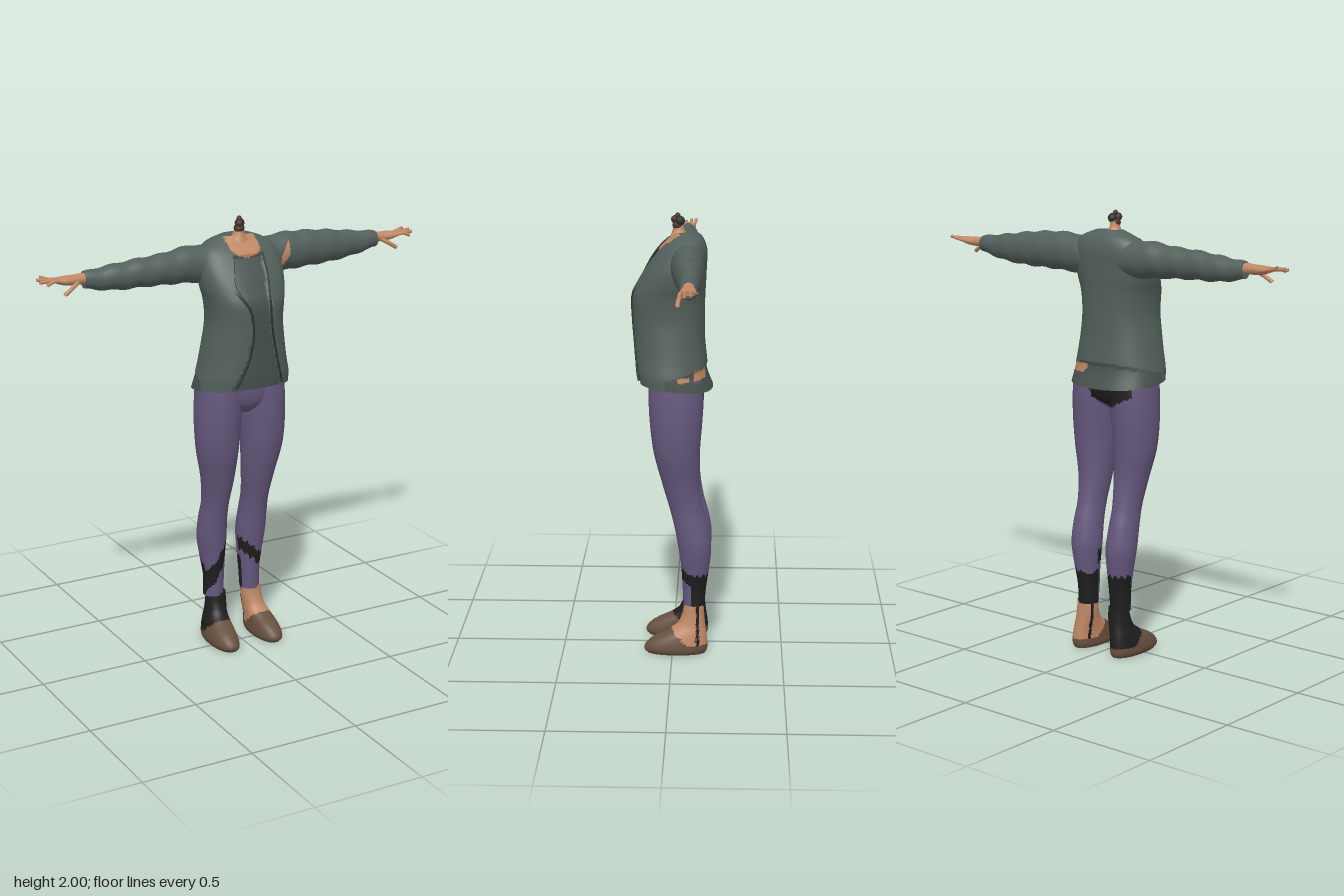
import * as THREE from 'three';

const mat = (name, color) => Object.assign(new THREE.MeshStandardMaterial({ color, side: THREE.DoubleSide }), { name });
const M = {
  jacket: mat('jacketGrey', 0x53605c),
  shirt: mat('shirtGrey', 0x49534f),
  trim: mat('seamDark', 0x2c3331),
  skin: mat('skin', 0xc08865),
  purple: mat('leggingPurple', 0x65587d),
  black: mat('tornBlack', 0x1e1e1f),
  brown: mat('shoeBrown', 0x67503f),
  stump: mat('stumpBrown', 0x4b342c),
};

// Smooth interpolation through rows of [t, ...values]
function spline(rows) {
  const n = rows[0].length - 1;
  const f = new THREE.CubicInterpolant(rows.map(r => r[0]), rows.flatMap(r => r.slice(1)), n, new Float32Array(n));
  return t => Array.from(f.evaluate(t));
}

// Closed loft; rows are [t, aMin, aMax, bMin, bMax].
// Axis y: a = x, b = z.  Axis x: a = y, b = z.  side mirrors x.
function loft(name, rows, o) {
  const { axis = 'y', side = 1, nu = 32, nv = 24, power = 2, pick, warp } = o;
  const at = spline(rows), t0 = rows[0][0], t1 = rows[rows.length - 1][0];
  const pos = [], sp = v => Math.sign(v) * Math.abs(v) ** (2 / power);
  const put = (t, a, b) => {
    const p = axis === 'y' ? new THREE.Vector3(side * a, t, b) : new THREE.Vector3(side * t, a, b);
    if (warp) warp(p);
    pos.push(p.x, p.y, p.z);
  };
  const ring = t => {
    const [a0, a1, b0, b1] = at(t);
    for (let i = 0; i < nu; i++) {
      const q = i / nu * Math.PI * 2;
      put(t, (a0 + a1) / 2 + (a1 - a0) / 2 * sp(Math.cos(q)), (b0 + b1) / 2 + (b1 - b0) / 2 * sp(Math.sin(q)));
    }
  };
  for (let j = 0; j <= nv; j++) ring(t0 + (t1 - t0) * j / nv);
  const flip = (axis === 'x') !== (side < 0), buckets = new Map();
  const tri = (a, b, c) => {
    const mid = k => (pos[a * 3 + k] + pos[b * 3 + k] + pos[c * 3 + k]) / 3;
    const m = typeof pick === 'function' ? pick(mid(0), mid(1), mid(2)) : pick;
    if (!buckets.has(m)) buckets.set(m, []);
    buckets.get(m).push(...(flip ? [a, c, b] : [a, b, c]));
  };
  for (let j = 0; j < nv; j++) for (let i = 0; i < nu; i++) {
    const k = (i + 1) % nu, p = j * nu;
    tri(p + i, p + nu + i, p + k);
    tri(p + k, p + nu + i, p + nu + k);
  }
  // End caps with their own rings, so the rims stay sharp
  for (const t of [t0, t1]) {
    const s = pos.length / 3, [a0, a1, b0, b1] = at(t);
    ring(t);
    put(t, (a0 + a1) / 2, (b0 + b1) / 2);
    for (let i = 0; i < nu; i++) {
      const k = (i + 1) % nu;
      if (t === t0) tri(s + i, s + k, s + nu); else tri(s + k, s + i, s + nu);
    }
  }
  const g = new THREE.BufferGeometry(), index = [], mats = [];
  g.setAttribute('position', new THREE.Float32BufferAttribute(pos, 3));
  for (const [m, list] of buckets) {
    g.addGroup(index.length, list.length, mats.length);
    for (const i of list) index.push(i);
    mats.push(m);
  }
  g.setIndex(index);
  g.computeVertexNormals();
  return named(name, new THREE.Mesh(g, mats));
}
const named = (name, obj) => Object.assign(obj, { name });
const tube = (name, pts, r, m, seg = 10) => named(name, new THREE.Mesh(
  new THREE.TubeGeometry(new THREE.CatmullRomCurve3(pts), seg, r, 8), m));

const torsoRows = [
  [1.245, -.225, .215, -.178, .166], [1.30, -.217, .21, -.158, .172], [1.36, -.203, .197, -.15, .174],
  [1.45, -.186, .182, -.141, .176], [1.55, -.17, .17, -.14, .18], [1.65, -.178, .178, -.142, .178],
  [1.70, -.19, .19, -.145, .155], [1.77, -.196, .196, -.148, .115], [1.83, -.187, .187, -.15, .072],
  [1.87, -.165, .165, -.14, .035], [1.895, -.125, .125, -.125, .005], [1.915, -.07, .07, -.1, -.01],
];
const POWER = 2.3, torsoAt = spline(torsoRows);
const openRight = spline([[1.25, -.12], [1.4, -.055], [1.53, -.035], [1.62, -.05], [1.72, -.1], [1.84, -.075]]);
const openLeft = spline([[1.25, .13], [1.4, .09], [1.53, .06], [1.66, .05], [1.74, .065], [1.84, .075]]);
const inOpening = (x, y, z) => z > .03 && y < 1.84 && x > openRight(y)[0] && x < openLeft(y)[0];
function frontZ(x, y) {
  const [a0, a1, b0, b1] = torsoAt(y), a = Math.min(1, Math.abs((2 * x - a0 - a1) / (a1 - a0)));
  return (b0 + b1) / 2 + (b1 - b0) / 2 * (1 - a ** POWER) ** (1 / POWER);
}
const onFront = (x, y, off) => new THREE.Vector3(x, y, frontZ(x, y) + off);

function torso() {
  const g = named('upperBody', new THREE.Group());
  g.add(loft('jacketAndShirt', torsoRows, {
    nu: 112, nv: 90, power: POWER,
    warp: p => {
      const hem = Math.max(0, (1.4 - p.y) / .155);
      if (inOpening(p.x, p.y, p.z)) p.z -= .014;
      if (p.z < .03 && p.y < 1.3 - .25 * p.z) p.z += .012 * (1 - hem);   // shirt tail under the jacket
      p.y += .11 * p.z * hem;
    },
    pick: (x, y, z) => {
      if (z > -.03 && Math.abs(x) < .075 && y > 1.83 + 6 * x * x) return M.skin;
      if (inOpening(x, y, z)) return M.shirt;
      if (z < .03 && y < 1.3 - .25 * z) {
        const hole = x > .06 && ((z < -.095 && z > -.145 && y > 1.285 && y < 1.328)
          || (z < -.025 && z > -.075 && y > 1.283 && y < 1.305));
        return hole ? M.skin : M.shirt;
      }
      return M.jacket;
    },
  }));
  // Jacket front edges and lapels
  for (const [edge, s, label] of [[openLeft, 1, 'left'], [openRight, -1, 'right']]) {
    const pts = [];
    for (let y = 1.275; y < 1.85; y += .03) pts.push(onFront(edge(y)[0], y, .001));
    g.add(tube(label + 'JacketEdge', pts, .005, M.trim, 50));
    const outer = spline([[1.66, .058], [1.72, .118], [1.77, .142], [1.82, .125], [1.88, .115]]);
    const n = 14, pos = [], idx = [];
    for (let j = 0; j <= n; j++) {
      const y = 1.66 + .22 * j / n, inner = Math.abs(edge(y)[0]);
      for (let i = 0; i <= 3; i++) {
        const x = s * THREE.MathUtils.lerp(inner, Math.max(inner, outer(y)[0]), i / 3);
        pos.push(...onFront(x, y, .008).toArray());
        if (i < 3 && j < n) {
          const a = j * 4 + i, q = s > 0 ? [a, a + 1, a + 4, a + 1, a + 5, a + 4] : [a, a + 4, a + 1, a + 1, a + 4, a + 5];
          idx.push(...q);
        }
      }
    }
    const geo = new THREE.BufferGeometry();
    geo.setAttribute('position', new THREE.Float32BufferAttribute(pos, 3));
    geo.setIndex(idx);
    geo.computeVertexNormals();
    g.add(named(label + 'Lapel', new THREE.Mesh(geo, M.jacket)));
  }
  // Neck and ragged stump
  g.add(loft('neck', [[1.85, -.07, .07, -.09, .03], [1.89, -.05, .05, -.075, .015], [1.92, -.026, .026, -.052, .004],
    [1.95, -.018, .018, -.045, -.003]], { nu: 20, nv: 10, pick: M.skin }));
  [[0, 1.945, -.02, .024], [.008, 1.965, -.03, .022], [-.006, 1.97, -.008, .018], [0, 1.988, -.02, .012]].forEach(([x, y, z, r], i) => {
    const b = new THREE.Mesh(new THREE.IcosahedronGeometry(r, 1), i === 1 ? M.trim : M.stump);
    b.position.set(x, y, z);
    g.add(named('neckStump', b));
  });
  return g;
}

function arm(side) {
  const left = side > 0, g = named(left ? 'leftArm' : 'rightArm', new THREE.Group());
  const rows = left
    ? [[.1, 1.71, 1.87, -.135, .01], [.22, 1.718, 1.89, -.14, .006], [.35, 1.724, 1.889, -.14, -.006],
      [.47, 1.728, 1.878, -.136, -.02], [.6, 1.74, 1.86, -.13, -.038], [.74, 1.77, 1.843, -.118, -.048]]
    : [[.1, 1.71, 1.87, -.135, .015], [.22, 1.72, 1.882, -.135, .01], [.35, 1.728, 1.866, -.115, .012],
      [.47, 1.732, 1.858, -.104, .012], [.6, 1.735, 1.845, -.1, .002], [.73, 1.755, 1.83, -.082, -.018]];
  g.add(loft('sleeve', rows, {
    axis: 'x', side, nu: 40, nv: 70,
    pick: (x, y, z) => x > .2 && x < .245 && z > -.045 && Math.abs(y - 1.74 - 1.5 * (x - .18)) < .03 ? M.skin : M.jacket,
    warp: p => { p.y += .003 * Math.sin(Math.abs(p.x) * 55); },
  }));
  // Hand
  const y = left ? 1.815 : 1.802, z = left ? -.084 : -.048;
  g.add(loft('palm', [[.71, y - .026, y + .026, z - .026, z + .026], [.77, y - .024, y + .02, z - .026, z + .026],
    [.82, y - .02, y + .018, z - .036, z + .034], [.86, y - .008, y + .014, z - .034, z + .03]],
  { axis: 'x', side, nu: 20, nv: 12, pick: M.skin }));
  [[-.028, .915, .018], [-.01, .938, .012], [.01, .935, .006], [.027, .91, -.004]].forEach(([dz, tip, dy]) =>
    g.add(tube('finger', [new THREE.Vector3(side * .84, y + .002, z + dz * .9),
      new THREE.Vector3(side * .88, y + .007, z + dz * 1.1), new THREE.Vector3(side * tip, y + dy, z + dz * 1.3)], .0075, M.skin)));
  g.add(tube('thumb', [new THREE.Vector3(side * .765, y - .01, z + .02), new THREE.Vector3(side * .8, y - .03, z + .036),
    new THREE.Vector3(side * .835, y - .052, z + .042)], .0095, M.skin));
  return g;
}

function leg(side) {
  const left = side > 0, g = named(left ? 'leftLeg' : 'rightLeg', new THREE.Group());
  g.add(loft('legging', [
    [.215, .05, .143, -.145, -.05], [.3, .046, .14, -.152, -.046], [.4, .04, .155, -.166, -.04], [.5, .034, .169, -.175, -.026],
    [.6, .04, .167, -.16, -.008], [.68, .042, .163, -.138, .012], [.8, .03, .178, -.12, .046], [.95, .018, .208, -.122, .084],
    [1.08, .01, .216, -.132, .1], [1.2, .004, .212, -.138, .106], [1.28, .002, .205, -.135, .105],
  ], {
    side, nu: 48, nv: 110,
    pick: (x, y, z) => {
      const ax = Math.abs(x), rag = .008 * Math.sin(ax * 190 + z * 130);
      if (z < -.085 && y < (left ? .37 : .38) + rag) return M.black;
      const d = left ? y - (.44 - .9 * (ax - .04)) : y - (.47 - 1.75 * (ax - .035));
      if (z >= -.1 && Math.abs(d + rag) < (left ? .03 : .05)) return M.black;
      if (z < -.04 && y > 1.13 + .5 * Math.abs(x + .04) && x > -.17 && x < .06) return M.black;
      return M.purple;
    },
  }));
  const dx = left ? .006 : .012;
  g.add(loft('footAndShoe', [
    [0, .06, .17, -.15, .115], [.015, .054, .178, -.158, .128], [.04, .054, .178, -.16, .12], [.07, .056, .172, -.158, .085],
    [.1, .056, .163, -.154, .025], [.13, .054, .152, -.15, -.02], [.17, .05, .145, -.146, -.042], [.225, .05, .14, -.142, -.053],
  ], {
    side, nu: 48, nv: 48, power: 2.2,
    warp: p => { p.x += dx; },
    pick: (x, y, z) => {
      if (y < .045 || y < .045 + .95 * (z + .07)) return M.brown;
      if (!left) return M.black;
      return Math.abs(z + .115) < .007 ? M.black : M.skin;
    },
  }));
  return g;
}

export function createModel() {
  const model = named('figure', new THREE.Group());
  model.add(torso());
  model.add(loft('pelvis', [[1.125, -.05, .05, -.06, .05], [1.16, -.12, .12, -.11, .085], [1.2, -.18, .18, -.13, .1],
    [1.28, -.2, .2, -.138, .106]], {
    nu: 48, nv: 20,
    pick: (x, y, z) => z < -.03 && y > 1.13 + .5 * Math.abs(x + .04) && x > -.17 && x < .06 ? M.black : M.purple,
  }));
  for (const side of [1, -1]) model.add(arm(side), leg(side));
  return model;
}
